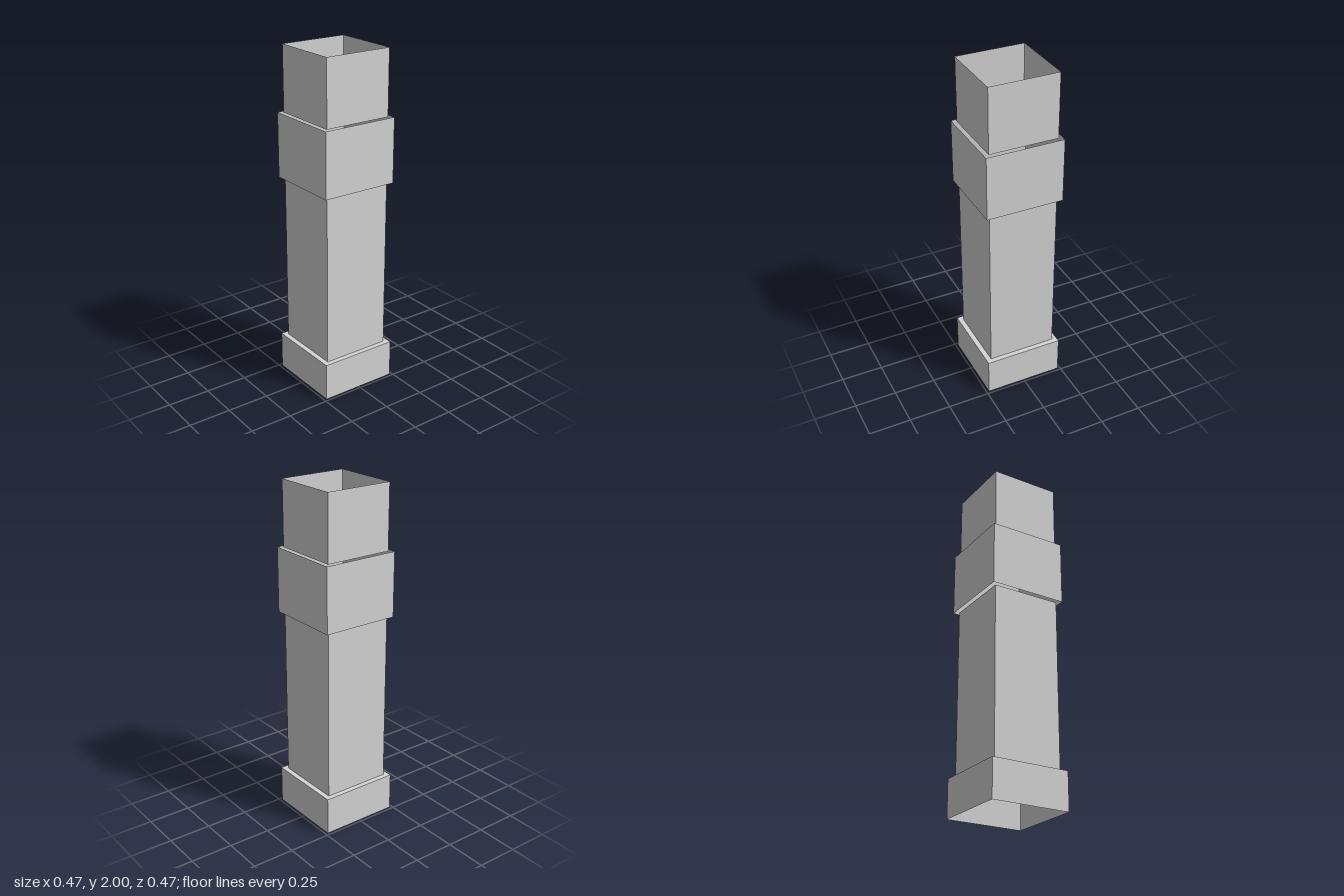
import * as THREE from 'three';
import { mergeGeometries } from 'three/addons/utils/BufferGeometryUtils.js';

const lightGrey = new THREE.MeshStandardMaterial({ color: 0xd5d5d5, side: THREE.DoubleSide });
lightGrey.name = 'lightGrey';

// Four thin walls of a square sleeve, optionally closed on top
function sleeve(name, width, bottom, top, capped = false) {
  const height = top - bottom;
  const faces = [];
  for (let i = 0; i < 4; i++) {
    faces.push(new THREE.PlaneGeometry(width, height)
      .translate(0, 0, width / 2)
      .rotateY(i * Math.PI / 2));
  }
  if (capped) {
    faces.push(new THREE.PlaneGeometry(width, width)
      .rotateX(-Math.PI / 2)
      .translate(0, height / 2, 0));
  }
  const mesh = new THREE.Mesh(mergeGeometries(faces), lightGrey);
  mesh.name = name;
  mesh.position.y = (bottom + top) / 2;
  return mesh;
}

export function createModel() {
  const group = new THREE.Group();
  group.name = 'squareColumn';
  group.add(
    sleeve('base', 0.47, 0, 0.225, true),      // hollow plinth with a flat top
    sleeve('lowerShaft', 0.41, 0.225, 1.237),
    sleeve('collar', 0.46, 1.237, 1.618),      // open band between the shafts
    sleeve('upperShaft', 0.41, 1.618, 2),
  );
  return group;
}
